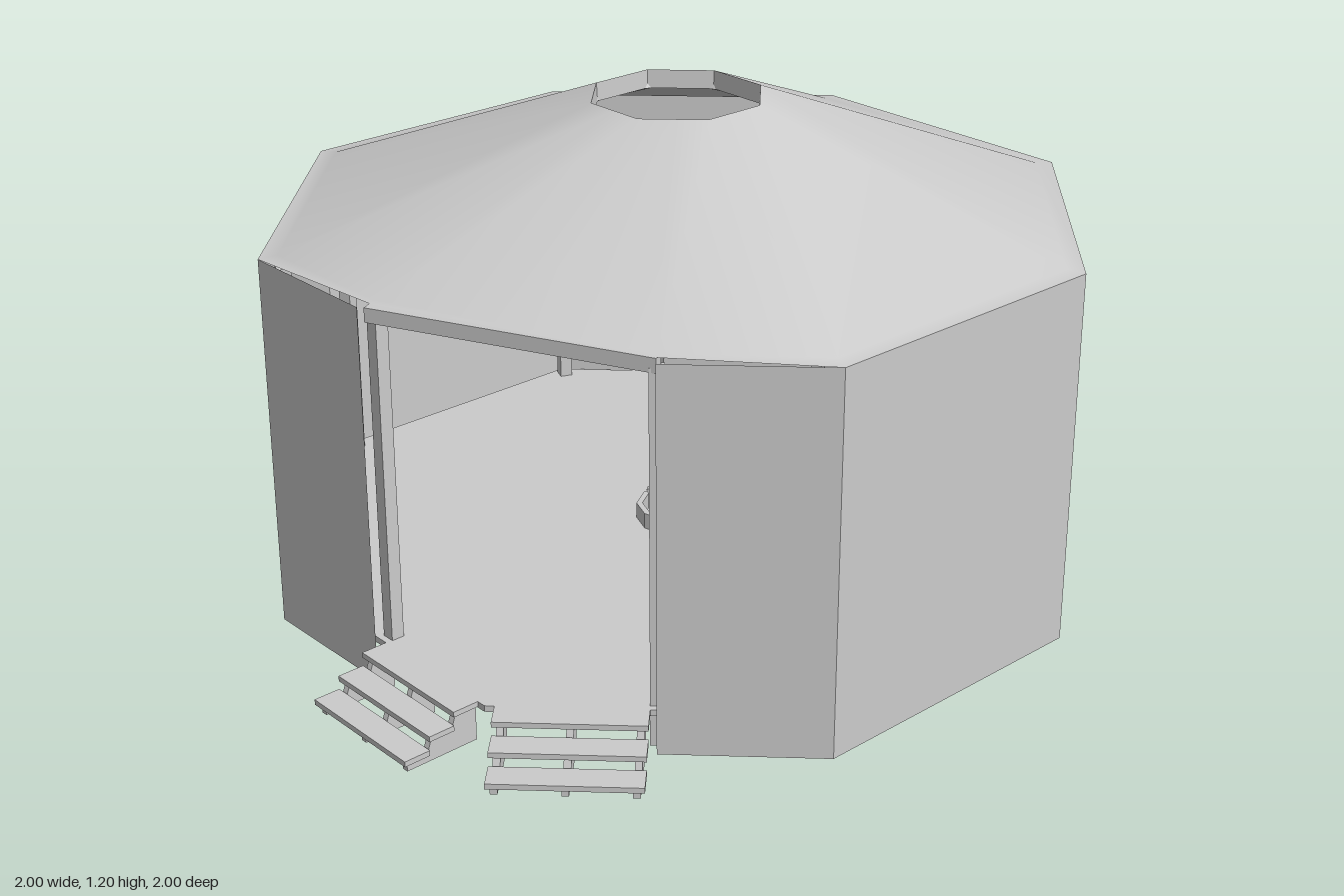
import * as THREE from 'three';

const R = 0.99, EAVE = 0.915, TOP = 1.195, FLOOR = 0.1;
const grey = new THREE.MeshStandardMaterial({ color: 0xcccccc, side: THREE.DoubleSide });

const polar = (deg, r, y = 0) => {
  const a = THREE.MathUtils.degToRad(deg);
  return new THREE.Vector3(Math.cos(a) * r, y, Math.sin(a) * r);
};

function add(parent, name, geometry) {
  const mesh = new THREE.Mesh(geometry, grey);
  mesh.name = name;
  parent.add(mesh);
  return mesh;
}

// Skin between matching loops of points
function loft(loops, closed) {
  const n = loops[0].length, index = [];
  for (let k = 0; k < loops.length - 1; k++) {
    for (let i = 0; i < (closed ? n : n - 1); i++) {
      const a = k * n + i, b = k * n + (i + 1) % n;
      index.push(a, a + n, b, b, a + n, b + n);
    }
  }
  const g = new THREE.BufferGeometry().setFromPoints(loops.flat());
  g.setIndex(index);
  g.computeVertexNormals();
  return g;
}

function flat(geometry) {
  const g = geometry.toNonIndexed();
  g.computeVertexNormals();
  return g;
}

// Square bar between two points
function bar(parent, name, a, b, w, h = w) {
  const mesh = add(parent, name, new THREE.BoxGeometry(w, h, a.distanceTo(b)));
  mesh.position.copy(a).add(b).multiplyScalar(0.5);
  mesh.lookAt(b);
  return mesh;
}

// Three treads on three stepped stringers; local z points outward
function makeStairs() {
  const stairs = new THREE.Group();
  stairs.name = 'stairs';
  const width = 0.335, run = 0.066, rise = FLOOR / 3, thick = 0.013;
  const profile = new THREE.Shape();
  profile.moveTo(0, 0);
  for (let i = 0; i < 3; i++) {
    const y = FLOOR - i * rise - thick;
    profile.lineTo(i * run, y);
    profile.lineTo((i + 1) * run - 0.012, y);
    const tread = add(stairs, 'stairTread', new THREE.BoxGeometry(width, thick, run));
    tread.position.set(0, y + thick / 2, (i + 0.5) * run);
  }
  profile.lineTo(3 * run - 0.012, 0);
  for (const x of [-0.15, 0, 0.15]) {
    const g = new THREE.ExtrudeGeometry(profile, { depth: 0.016, bevelEnabled: false });
    g.translate(0, 0, -0.008);
    g.rotateY(-Math.PI / 2);
    add(stairs, 'stairStringer', g).position.x = x;
  }
  return stairs;
}

export function createModel() {
  const model = new THREE.Group();
  model.name = 'octagonalHut';
  const hut = new THREE.Group();
  hut.name = 'hut';
  hut.position.set(0.005, 0, -0.01);
  model.add(hut);

  // Seven full corners, with the entrance cut across the corner at 135 degrees
  const mid = R * Math.cos(Math.PI / 8);
  const outline = [polar(157.5, mid)];
  for (let i = 4; i <= 10; i++) outline.push(polar(i * 45, R));
  outline.push(polar(112.5, mid));
  const at = (points, y, s = 1) => points.map(p => new THREE.Vector3(p.x * s, y, p.z * s));

  // Walls, open at the entrance
  add(hut, 'walls', flat(loft([at(outline, 0), at(outline, EAVE)], false)));

  // Roof with a softly shaded eave and an open crown
  const eave = outline.map((p, i) => p.clone().multiplyScalar(i === 0 || i === 8 ? 0.965 : 1));
  eave.push(eave[8].clone().add(eave[0]).multiplyScalar(0.5));
  const crown = [157.5, 180, 225, 270, 315, 360, 405, 450, 472.5, 495]
    .map((d, i) => polar(d, i === 0 || i === 8 ? 0.208 * Math.cos(Math.PI / 8) : 0.208));
  const shoulder = eave.map((p, i) => p.clone().multiplyScalar(i >= 8 || i === 0 ? 0.985 : 0.955));
  add(hut, 'roof', loft([at(eave, EAVE), at(shoulder, EAVE + 0.004), at(crown, TOP)], true));
  add(hut, 'crownRing', flat(loft([at(crown, TOP), at(crown, TOP - 0.045, 0.99)], true)));

  // Floor deck reaching out to the uncovered entrance corner
  const deck = new THREE.CylinderGeometry(0.97, 0.97, 0.015, 8, 1).rotateY(Math.PI / 2);
  add(hut, 'floor', flat(deck)).position.y = FLOOR - 0.0085;

  // Posts and rafters
  outline.forEach((p, i) => {
    const post = add(hut, 'post', new THREE.BoxGeometry(0.032, EAVE - 0.025, 0.032));
    post.position.set(p.x * 0.945, (EAVE - 0.025) / 2, p.z * 0.945);
    post.rotation.y = -Math.atan2(p.z, p.x);
    const foot = new THREE.Vector3(p.x * 0.93, EAVE - 0.015, p.z * 0.93);
    const head = new THREE.Vector3(crown[i].x, TOP - 0.03, crown[i].z);
    bar(hut, 'rafter', foot, head, 0.025);
  });

  // Beam over the entrance
  const [left, right] = [outline[8], outline[0]].map(p => p.clone().multiplyScalar(0.965).setY(EAVE - 0.018));
  bar(hut, 'entranceBeam', left, right, 0.025, 0.034);

  // Two flights, one on each side of the entrance corner
  for (const [deg, x] of [[157.5, 0.182], [112.5, -0.182]]) {
    const side = new THREE.Group();
    side.name = 'entranceSide';
    side.rotation.y = Math.PI / 2 - THREE.MathUtils.degToRad(deg);
    const stairs = makeStairs();
    stairs.position.set(x, 0, 0.896);
    side.add(stairs);
    hut.add(side);
  }

  // Fire pit with logs leaning to the middle
  const pit = new THREE.Group();
  pit.name = 'firePit';
  pit.position.y = FLOOR;
  hut.add(pit);
  const rim = [[0.085, 0], [0.1, 0], [0.1, 0.04], [0.085, 0.04], [0.085, 0]].map(p => new THREE.Vector2(...p));
  add(pit, 'pitRing', flat(new THREE.LatheGeometry(rim, 10)));
  for (let i = 0; i < 6; i++) {
    const a = polar(i * 60 + 15, 0.08, 0.012), b = polar(i * 60 + 35, 0.012, 0.07);
    bar(pit, 'log', a, b, 0.02);
  }
  return model;
}
